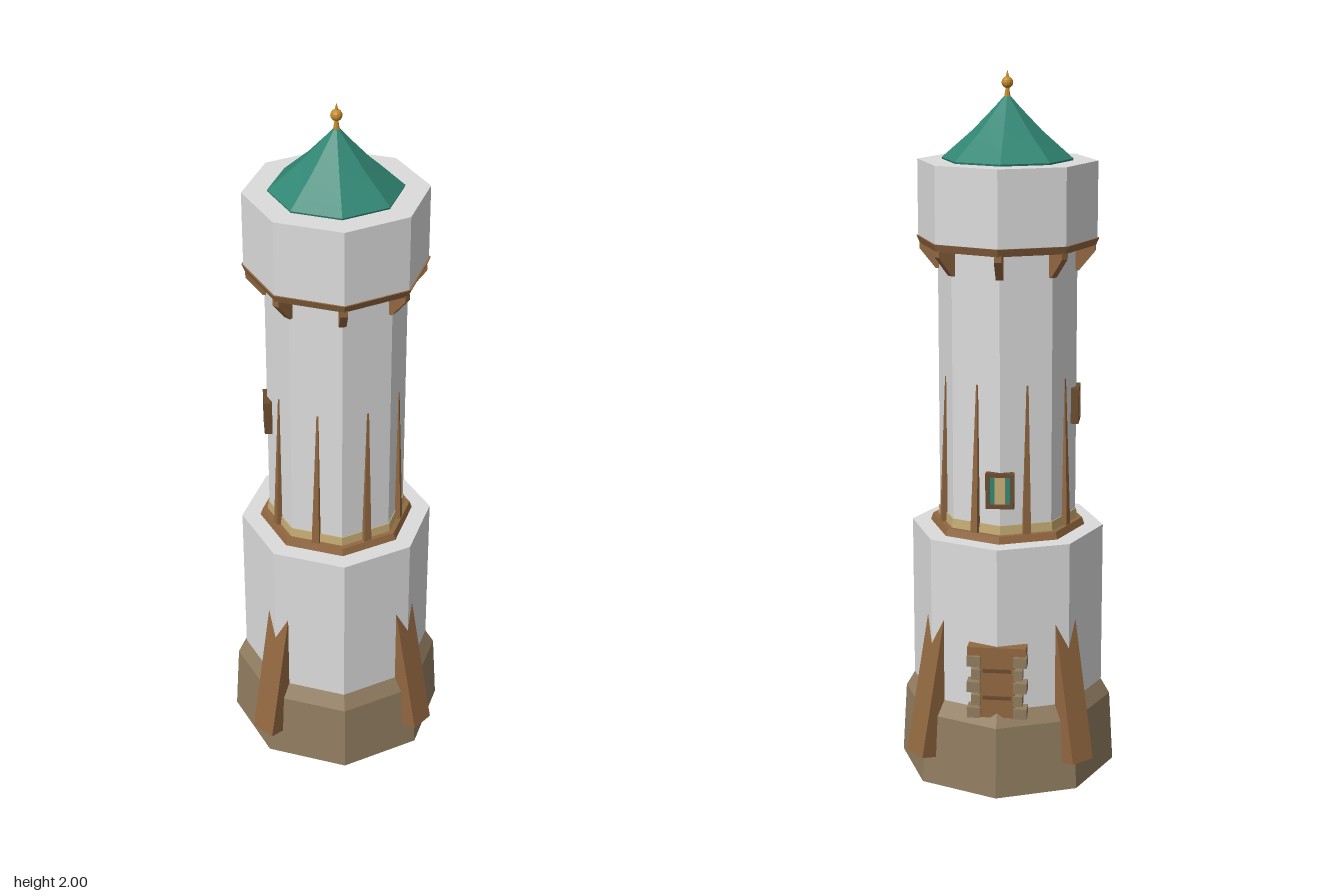
import * as THREE from 'three';
import { toCreasedNormals } from 'three/addons/utils/BufferGeometryUtils.js';

const mat = (name, color) => {
  const m = new THREE.MeshStandardMaterial({ color });
  m.name = name;
  return m;
};

export function createModel() {
  const tower = new THREE.Group();
  tower.name = 'tower';

  const wall = mat('pale plaster', 0xdcdcdc);
  const stone = mat('brown stone', 0x917d60);
  const wood = mat('timber', 0x916740);
  const darkWood = mat('dark timber', 0x6b4c30);
  const sand = mat('sand band', 0xc6ac74);
  const teal = mat('teal', 0x318674);
  const gold = mat('gold', 0xc48a28);

  const add = (parent, name, geo, material, x = 0, y = 0, z = 0) => {
    const mesh = new THREE.Mesh(toCreasedNormals(geo, 0.3), material);
    mesh.name = name;
    mesh.position.set(x, y, z);
    parent.add(mesh);
    return mesh;
  };
  const box = (parent, name, w, h, d, material, x, y, z) =>
    add(parent, name, new THREE.BoxGeometry(w, h, d), material, x, y, z);
  // eight-sided drum between two heights, corners on the axes
  const drum = (name, r0, r1, y0, y1, material) =>
    add(tower, name, new THREE.CylinderGeometry(r1, r0, y1 - y0, 8), material, 0, (y0 + y1) / 2, 0);
  // group whose local +z points outward at the given angle
  const around = (name, angle) => {
    const g = new THREE.Group();
    g.name = name;
    g.rotation.y = angle;
    tower.add(g);
    return g;
  };

  // stacked body
  drum('base', 0.312, 0.3, 0, 0.205, stone);
  drum('baseBevel', 0.3, 0.274, 0.205, 0.25, stone);
  drum('lowerStorey', 0.275, 0.275, 0.245, 0.72, wall);
  drum('ledge', 0.222, 0.215, 0.72, 0.74, wood);
  drum('ledgeBand', 0.2, 0.198, 0.74, 0.766, sand);
  drum('shaft', 0.195, 0.195, 0.74, 1.53, wall);
  drum('galleryTrim', 0.246, 0.255, 1.525, 1.546, wood);
  drum('gallery', 0.25, 0.25, 1.546, 1.757, wall);

  // roof and finial
  const profile = (pts) => pts.map(([r, y]) => new THREE.Vector2(r, y));
  add(tower, 'roof', new THREE.LatheGeometry(
    profile([[0, 1.75], [0.178, 1.75], [0.182, 1.762], [0.095, 1.838], [0.035, 1.9], [0.01, 1.928], [0, 1.932]]), 8), teal);
  add(tower, 'finialStem', new THREE.CylinderGeometry(0.003, 0.011, 0.05, 8), gold, 0, 1.938, 0);
  add(tower, 'finialBall', new THREE.SphereGeometry(0.016, 12, 8), gold, 0, 1.966, 0);
  add(tower, 'finialTip', new THREE.ConeGeometry(0.006, 0.024, 8), gold, 0, 1.988, 0);

  // triangular brackets under the gallery
  const bracketShape = new THREE.Shape();
  bracketShape.moveTo(0.185, 1.455);
  bracketShape.lineTo(0.2, 1.455);
  bracketShape.lineTo(0.245, 1.51);
  bracketShape.lineTo(0.245, 1.527);
  bracketShape.lineTo(0.185, 1.527);
  bracketShape.closePath();
  for (let i = 0; i < 8; i++) {
    const geo = new THREE.ExtrudeGeometry(bracketShape, { depth: 0.02, bevelEnabled: false });
    geo.translate(0, 0, -0.01).rotateY(-Math.PI / 2);
    add(around('bracketMount', i * Math.PI / 4), 'bracket', geo, wood);
  }

  // tapered strips leaning on each face of the shaft
  for (let i = 0; i < 8; i++) {
    const geo = new THREE.BoxGeometry(0.022, 0.43, 0.03);
    const p = geo.attributes.position;
    for (let k = 0; k < p.count; k++) {
      if (p.getY(k) > 0) {
        p.setX(k, p.getX(k) * 0.25 + 0.004);
        p.setZ(k, p.getZ(k) - 0.015);
      }
    }
    geo.computeVertexNormals();
    add(around('stripMount', (i + 0.5) * Math.PI / 4), 'shaftStrip', geo.toNonIndexed(), wood, 0, 0.945, 0.182);
  }

  // slanting buttresses at the diagonal corners
  for (let i = 0; i < 4; i++) {
    const beam = new THREE.Group();
    beam.name = 'buttress';
    beam.position.set(0, 0.092, 0.34);
    beam.rotation.x = -0.2;
    around('buttressMount', (i + 0.5) * Math.PI / 2).add(beam);
    box(beam, 'buttressBeam', 0.074, 0.45, 0.065, wood, 0, 0.225, -0.0325);
  }

  // framed windows: one at the back, one on the model's right
  for (const [angle, y] of [[Math.PI, 0.868], [-Math.PI / 2, 1.075]]) {
    const win = around('window', angle);
    for (const s of [-1, 1]) {
      box(win, 'windowJamb', 0.011, 0.1, 0.022, darkWood, s * 0.034, y, 0.194);
      box(win, 'windowRail', 0.079, 0.011, 0.022, darkWood, 0, y + s * 0.045, 0.194);
    }
    box(win, 'windowPane', 0.06, 0.082, 0.009, teal, 0, y, 0.189);
    box(win, 'windowLight', 0.03, 0.078, 0.006, sand, 0, y, 0.194);
  }

  // back door with stepped side blocks
  const door = around('door', Math.PI);
  box(door, 'doorPanel', 0.1, 0.2, 0.04, wood, 0, 0.33, 0.258);
  for (const y of [0.29, 0.37]) box(door, 'doorStrap', 0.08, 0.01, 0.006, darkWood, 0, y, 0.28);
  box(door, 'doorLintel', 0.164, 0.024, 0.045, wood, 0, 0.428, 0.263);
  for (let i = 0; i < 5; i++) {
    const w = i % 2 ? 0.026 : 0.038;
    for (const s of [-1, 1])
      box(door, 'doorBlock', w, 0.03, 0.042, stone, s * (0.046 + w / 2), 0.245 + i * 0.038, 0.264);
  }
  return tower;
}
